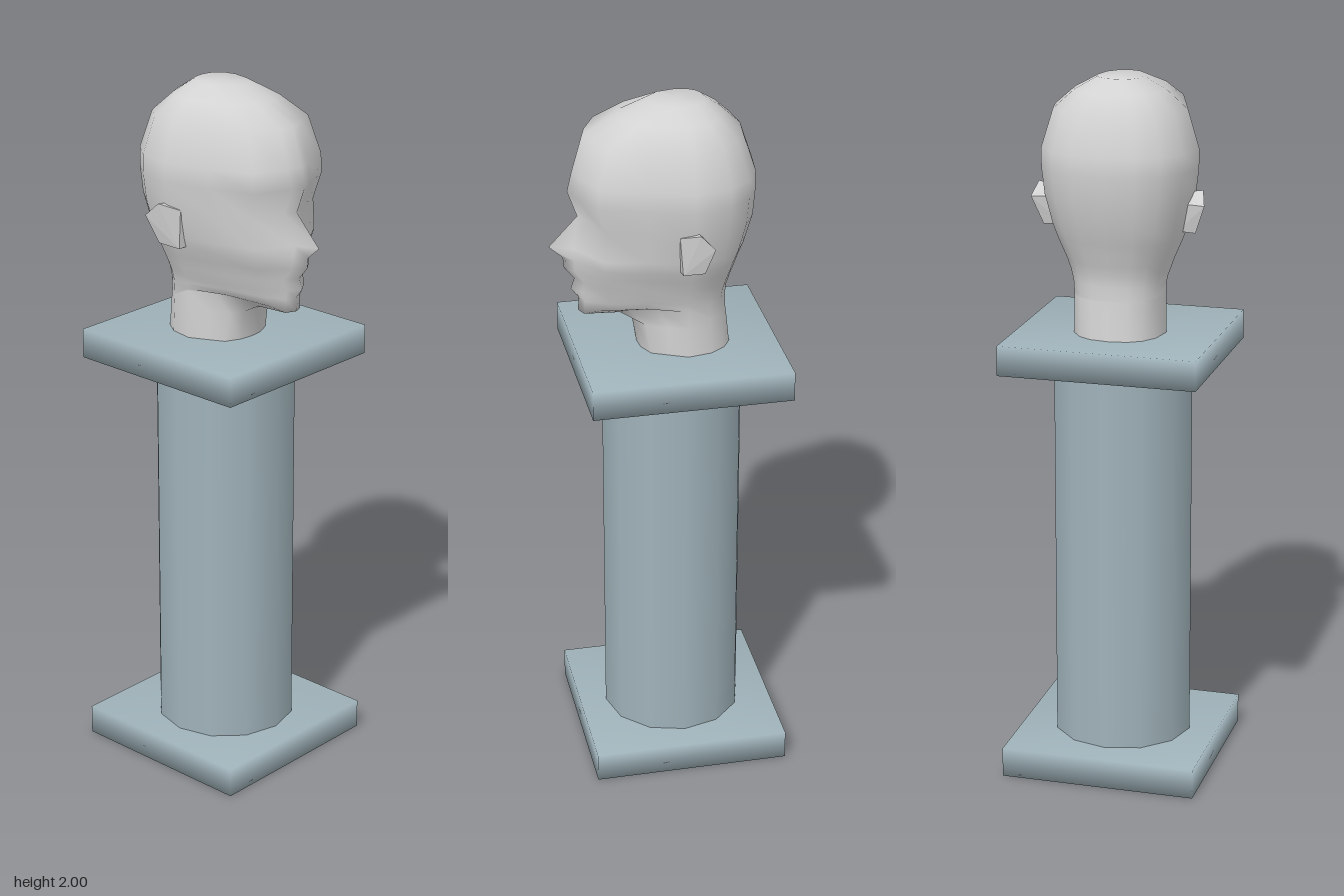
import * as THREE from 'three';
import { mergeVertices } from 'three/addons/utils/BufferGeometryUtils.js';
import { ConvexGeometry } from 'three/addons/geometries/ConvexGeometry.js';

const SIDE_Z = -0.05; // depth at which every head section is widest

// Horizontal head sections, crown to neck:
// y, front z, near-centre x and z, cheek corner x and z, half width, back z
const SECTIONS = [
  [2.0, 0.04, 0.03, 0.03, 0.055, 0.0, 0.065, -0.117],
  [1.965, 0.12, 0.035, 0.115, 0.09, 0.085, 0.13, -0.165],
  [1.915, 0.217, 0.04, 0.205, 0.12, 0.165, 0.188, -0.217],
  [1.81, 0.247, 0.04, 0.235, 0.138, 0.198, 0.22, -0.252],
  [1.755, 0.26, 0.035, 0.247, 0.138, 0.2, 0.22, -0.252],
  [1.68, 0.233, 0.03, 0.212, 0.13, 0.178, 0.211, -0.246],
  [1.595, 0.313, 0.027, 0.25, 0.128, 0.185, 0.19, -0.222],
  [1.56, 0.275, 0.03, 0.248, 0.118, 0.18, 0.178, -0.208],
  [1.53, 0.272, 0.035, 0.247, 0.105, 0.178, 0.165, -0.199],
  [1.495, 0.244, 0.04, 0.222, 0.092, 0.17, 0.15, -0.187],
  [1.465, 0.254, 0.035, 0.23, 0.085, 0.165, 0.14, -0.178],
  [1.435, 0.232, 0.03, 0.22, 0.072, 0.165, 0.133, -0.175],
  [1.398, 0.235, 0.03, 0.222, 0.058, 0.185, 0.13, -0.177],
  [1.393, 0.127, 0.03, 0.122, 0.06, 0.1, 0.13, -0.177],
  [1.37, 0.085, 0.04, 0.08, 0.08, 0.06, 0.13, -0.18],
  [1.28, 0.07, 0.04, 0.066, 0.085, 0.045, 0.13, -0.19],
];

// Share corner normals so that edges shade softly
function soften(geometry) {
  geometry.deleteAttribute('normal');
  geometry.deleteAttribute('uv');
  const merged = mergeVertices(geometry, 1e-4);
  merged.computeVertexNormals();
  return merged;
}

// Full ring of one section, starting at the front and going round by +x
function sectionRing([y, front, nx, nz, cx, cz, w, back]) {
  // the jaw line climbs from the chin towards the ears
  const lift = y > 1.42 && y < 1.44 ? 0.012 : y > 1.38 && y < 1.4 ? 0.03 : 0;
  const half = [
    [0, y, front],
    [nx, y, nz],
    [cx, y + lift * 0.6, cz],
    [(cx + w) / 2, y + lift, (cz + SIDE_Z) / 2],
    [w, y + lift, SIDE_Z],
  ];
  for (const deg of [27, 50, 70]) {
    const a = THREE.MathUtils.degToRad(deg);
    half.push([w * Math.cos(a) ** 0.85, y, SIDE_Z + (back - SIDE_Z) * Math.sin(a) ** 0.9]);
  }
  half.push([0, y, back]);
  const mirrored = half.slice(1, -1).reverse().map(([x, py, z]) => [-x, py, z]);
  return [...half, ...mirrored];
}

function headGeometry() {
  const rings = SECTIONS.map(sectionRing);
  const n = rings[0].length;
  const positions = rings.flat(2);
  const index = [];
  for (let i = 0; i < rings.length - 1; i++) {
    for (let j = 0; j < n; j++) {
      const k = (j + 1) % n;
      const a = i * n + j, b = i * n + k, c = a + n, d = b + n;
      index.push(a, c, d, a, d, b);
    }
  }
  // crown
  const top = positions.length / 3;
  positions.push(0, 2, -0.04);
  for (let j = 0; j < n; j++) index.push(top, j, (j + 1) % n);
  const g = new THREE.BufferGeometry();
  g.setAttribute('position', new THREE.Float32BufferAttribute(positions, 3));
  g.setIndex(index);
  g.computeVertexNormals();
  return g;
}

// Wedge-shaped ear flaring out towards the back
function earGeometry(side) {
  const points = [
    [0.2, 1.68, -0.01], [0.235, 1.697, -0.06], [0.247, 1.66, -0.097],
    [0.217, 1.578, -0.075], [0.195, 1.567, -0.02],
    [0.19, 1.69, -0.06], [0.19, 1.66, -0.085], [0.165, 1.58, -0.07], [0.165, 1.57, -0.015],
  ];
  return new ConvexGeometry(points.map(([x, y, z]) => new THREE.Vector3(side * x, y, z)));
}

export function createModel() {
  const model = new THREE.Group();
  model.name = 'bustOnPedestal';
  const stone = new THREE.MeshStandardMaterial({ color: 0x9fb2b9 });
  stone.name = 'blueGreyStone';
  const plaster = new THREE.MeshStandardMaterial({ color: 0xd2d2d2 });
  plaster.name = 'palePlaster';

  const add = (name, geometry, material, y = 0, z = 0) => {
    const mesh = new THREE.Mesh(geometry, material);
    mesh.name = name;
    mesh.position.set(0, y, z);
    model.add(mesh);
  };

  // Pedestal
  const slab = soften(new THREE.BoxGeometry(0.562, 0.085, 0.562));
  add('baseSlab', slab, stone, 0.0425, -0.034);
  add('topSlab', slab, stone, 1.2425, -0.034);
  add('column', new THREE.CylinderGeometry(0.2, 0.2, 1.115, 12, 1, true), stone, 0.6425, -0.03);

  // Head
  add('head', headGeometry(), plaster);
  add('leftEar', earGeometry(1), plaster);
  add('rightEar', earGeometry(-1), plaster);

  return model;
}
